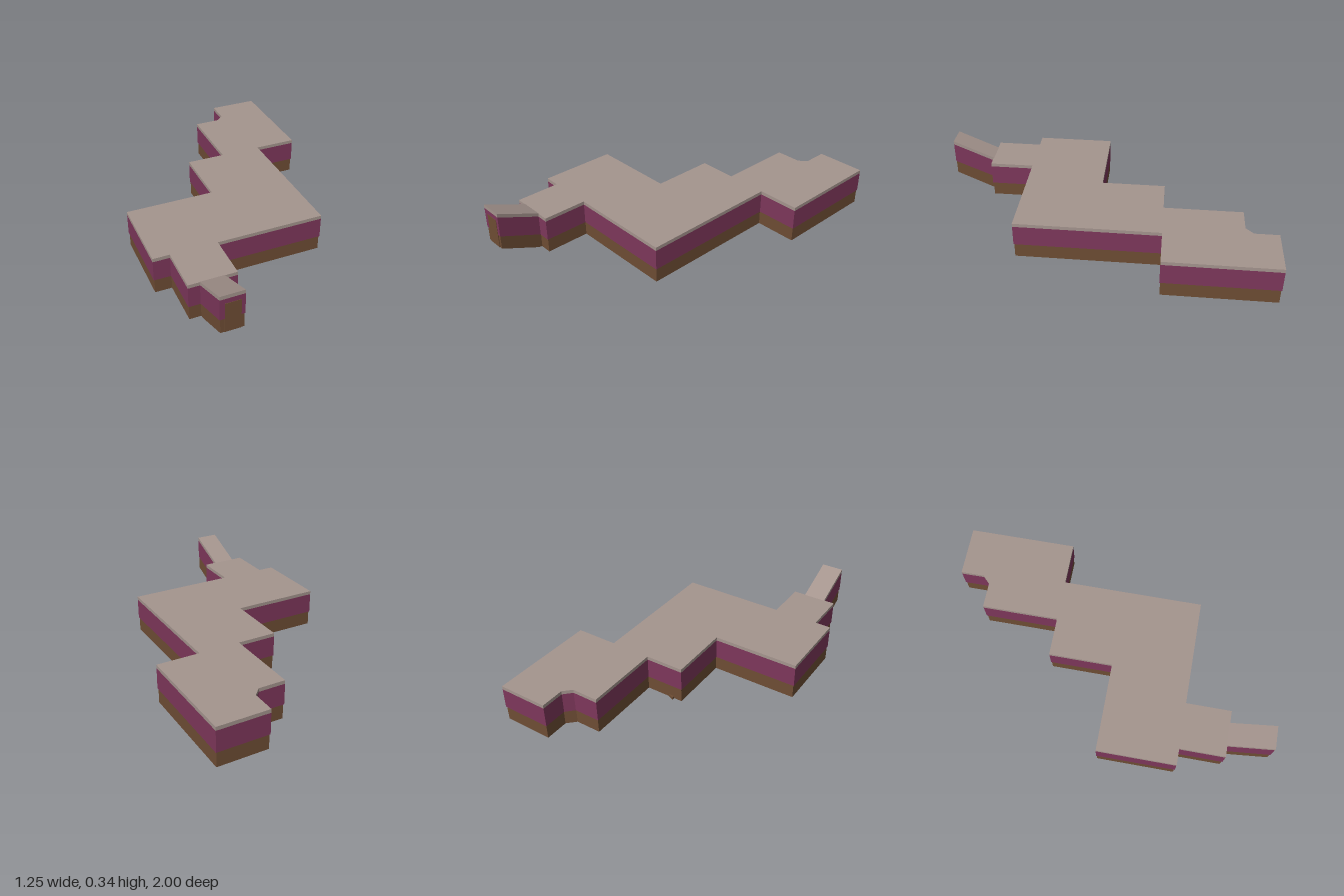
import * as THREE from 'three';

const mat = (name, color) => {
  const m = new THREE.MeshStandardMaterial({ color });
  m.name = name;
  return m;
};

// Building footprint as [x, z], walked around the outline
const FOOTPRINT = [
  [-0.623, 0.02], [-0.105, 0.02], [-0.105, -0.357], [0.125, -0.357], [0.125, -0.815],
  [0.28, -0.815], [0.325, -0.86], [0.325, -1], [0.622, -1], [0.622, -0.357],
  [0.37, -0.357], [0.37, 0.482], [-0.258, 0.482], [-0.258, 0.747], [-0.528, 0.747],
  [-0.528, 0.482], [-0.623, 0.482],
];

// Move every edge of the outline inwards by d
function inset(points, d) {
  const n = points.length;
  const normal = (a, b) => {
    const l = Math.hypot(b[0] - a[0], b[1] - a[1]);
    return [-(b[1] - a[1]) / l, (b[0] - a[0]) / l];
  };
  return points.map((p, i) => {
    const n1 = normal(points[(i + n - 1) % n], p);
    const n2 = normal(p, points[(i + 1) % n]);
    const k = d / (1 + n1[0] * n2[0] + n1[1] * n2[1]);
    return [p[0] + (n1[0] + n2[0]) * k, p[1] + (n1[1] + n2[1]) * k];
  });
}

const toShape = (pts) => new THREE.Shape(pts.map(([a, b]) => new THREE.Vector2(a, b)));

export function createModel() {
  const model = new THREE.Group();
  model.name = 'building';
  const brown = mat('brown base', 0x6e4d34);
  const plum = mat('plum wall', 0x7e375b);
  const grey = mat('warm grey roof', 0xa5958e);

  const add = (name, geometry, material) => {
    const mesh = new THREE.Mesh(geometry, material);
    mesh.name = name;
    model.add(mesh);
    return mesh;
  };

  // Horizontal layer with the footprint's outline
  const layer = (name, y0, y1, gap, material) => {
    const pts = inset(FOOTPRINT, gap).map(([x, z]) => [x, -z]);
    const g = new THREE.ExtrudeGeometry(toShape(pts), { depth: y1 - y0, bevelEnabled: false });
    add(name, g.rotateX(-Math.PI / 2).translate(0, y0, 0), material);
  };
  layer('base', 0.006, 0.092, 0.004, brown);
  layer('wall', 0.092, 0.214, 0, plum);
  layer('roof', 0.214, 0.235, 0, grey);

  // Raised front passage: side profile [z, y] swept across x
  const passage = (name, profile, x0, x1, material) => {
    const g = new THREE.ExtrudeGeometry(toShape(profile), { depth: x1 - x0, bevelEnabled: false });
    add(name, g.rotateY(-Math.PI / 2).translate(x1, 0, 0), material);
  };
  const slope = (b0, t0, b1, t1, end) => [[0.742, b0], [end, b1], [end, t1], [0.742, t0]];
  passage('passageBase', [[0.735, 0.008], [0.765, 0.01], [0.996, 0.112], [0.996, 0.195], [0.742, 0.091]],
    -0.459, -0.333, brown);
  passage('passageWall', slope(0.091, 0.213, 0.197, 0.32, 0.998), -0.463, -0.329, plum);
  passage('passageRoof', slope(0.213, 0.234, 0.32, 0.342, 0.998), -0.463, -0.329, grey);

  // Entrance door plate on the passage end
  add('door', new THREE.BoxGeometry(0.086, 0.178, 0.006), brown).position.set(-0.393, 0.203, 0.997);

  // Small feet under the base
  for (const [x, z] of [[0.04, 0.1], [0.3, -0.8], [0.42, -0.85], [0.58, -0.9], [-0.12, 0.3]]) {
    add('foot', new THREE.BoxGeometry(0.02, 0.008, 0.02), brown).position.set(x, 0.004, z);
  }

  // Little wedge sticking out of the back of the base
  const wedge = new THREE.ExtrudeGeometry(toShape([[-0.05, 0.35], [0, 0.35], [-0.05, 0.37]]),
    { depth: 0.015, bevelEnabled: false });
  add('wedge', wedge.rotateX(-Math.PI / 2).translate(0, 0.006, 0), brown);

  return model;
}
